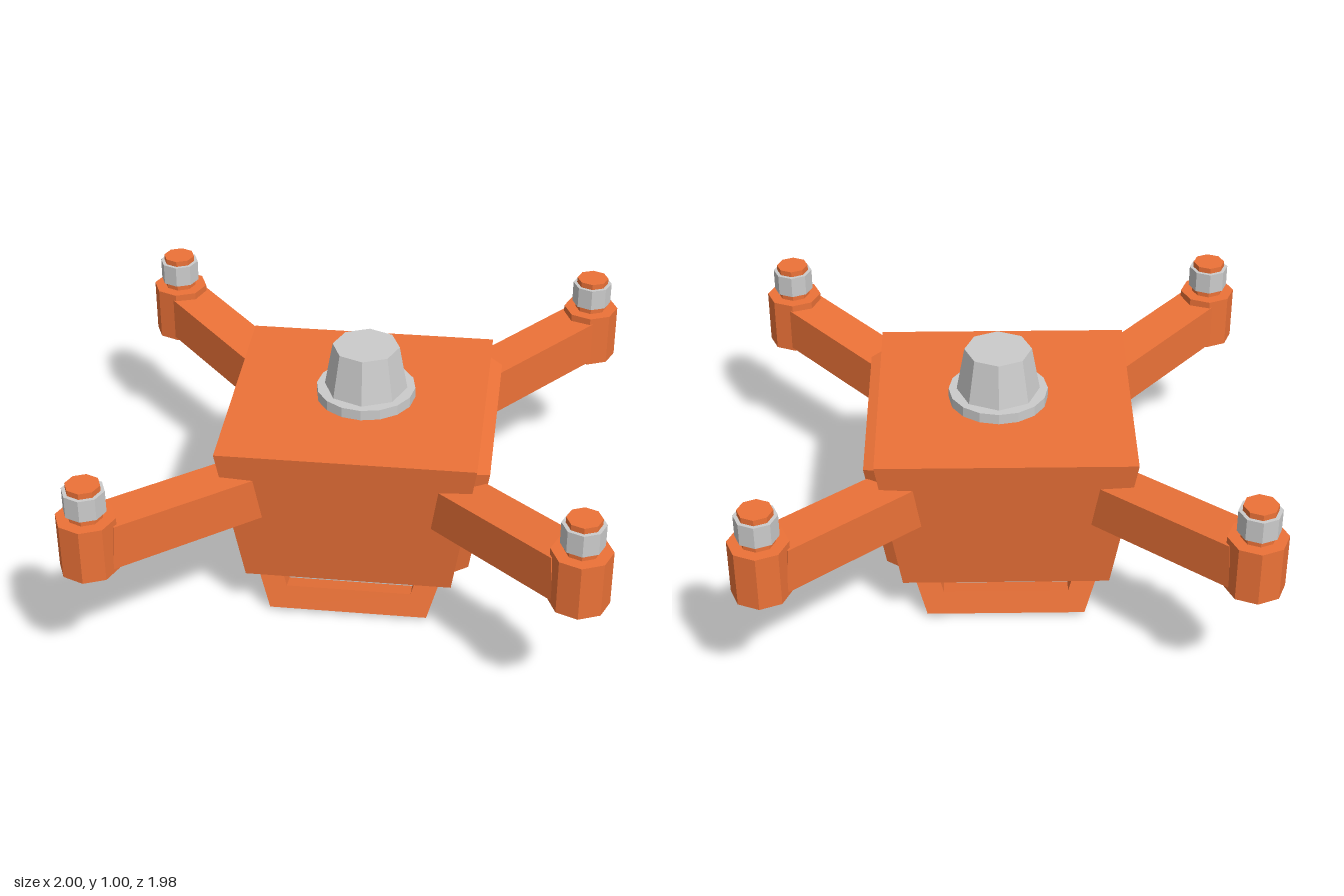
import * as THREE from 'three';

const orange = new THREE.MeshStandardMaterial({ color: 0xec7238, flatShading: true });
const grey = new THREE.MeshStandardMaterial({ color: 0xcccccc, flatShading: true });

function part(name, geometry, material, parent, x = 0, y = 0, z = 0) {
  const mesh = new THREE.Mesh(geometry, material);
  mesh.name = name;
  mesh.position.set(x, y, z);
  parent.add(mesh);
  return mesh;
}

// Upright prism or cone between two heights
function prism(name, rTop, rBottom, y0, y1, sides, material, parent, x = 0, z = 0) {
  const geometry = new THREE.CylinderGeometry(rTop, rBottom, y1 - y0, sides);
  return part(name, geometry, material, parent, x, (y0 + y1) / 2, z);
}

// Raised side panel with a bevelled rim and a recess, following the sloping body side
function panelGeometry() {
  const wall = (y) => 0.4 + (y - 0.175) * 0.149;
  // top y, bottom y, half width at top, half width at bottom, height above the wall
  const loops = [
    [0.735, 0.22, 0.44, 0.37, -0.01],
    [0.715, 0.235, 0.403, 0.34, 0.056],
    [0.65, 0.305, 0.32, 0.27, 0.056],
    [0.637, 0.318, 0.295, 0.255, 0.025],
  ].map(([t, b, wt, wb, d]) => [
    [wall(t) + d, t, wt], [wall(b) + d, b, wb],
    [wall(b) + d, b, -wb], [wall(t) + d, t, -wt],
  ]);
  const points = [];
  const quad = (a, b, c, d) => points.push(...a, ...b, ...c, ...a, ...c, ...d);
  for (let k = 0; k < loops.length - 1; k++) {
    for (let i = 0; i < 4; i++) {
      const j = (i + 1) % 4;
      quad(loops[k][i], loops[k][j], loops[k + 1][j], loops[k + 1][i]);
    }
  }
  quad(...loops[loops.length - 1]);
  const geometry = new THREE.BufferGeometry();
  geometry.setAttribute('position', new THREE.Float32BufferAttribute(points, 3));
  geometry.computeVertexNormals();
  return geometry;
}

// U-shaped landing skid, open at the top
function skidGeometry() {
  const outline = [
    [-0.37, 0.03], [-0.31, -0.17], [0.31, -0.17], [0.37, 0.03],
    [0.275, 0.03], [0.245, -0.073], [-0.245, -0.073], [-0.275, 0.03],
  ].map(([x, y]) => new THREE.Vector2(x, y));
  const geometry = new THREE.ExtrudeGeometry(new THREE.Shape(outline), { depth: 0.08, bevelEnabled: false });
  return geometry.translate(0, 0, -0.04);
}

export function createModel() {
  const model = new THREE.Group();
  model.name = 'quadcopter';

  // Tapered square body
  const body = prism('body', 0.492 * Math.SQRT2, 0.403 * Math.SQRT2, 0.175, 0.78, 4, orange, model);
  body.geometry.rotateY(Math.PI / 4);
  part('sidePanel', panelGeometry(), orange, model);
  part('bellyPlate', new THREE.BoxGeometry(0.228, 0.05, 0.228), orange, model, 0, 0.178, 0);

  // Top dome on its disc
  prism('domeBase', 0.193, 0.193, 0.77, 0.822, 16, grey, model, 0.024, -0.008);
  prism('dome', 0.13, 0.162, 0.82, 1.0, 8, grey, model, 0.024, -0.008);

  // Four diagonal arms, each carrying a motor
  const armSlope = Math.atan(0.089);
  for (const [sx, sz] of [[1, 1], [1, -1], [-1, -1], [-1, 1]]) {
    const arm = new THREE.Group();
    arm.name = (sz > 0 ? 'front' : 'back') + (sx > 0 ? 'Left' : 'Right') + 'Arm';
    model.add(arm);
    const beamGroup = new THREE.Group();
    beamGroup.name = 'beamMount';
    beamGroup.rotation.y = Math.atan2(-sz, sx);
    arm.add(beamGroup);
    const beam = part('beam', new THREE.BoxGeometry(0.82, 0.18, 0.177), orange, beamGroup, 0.79, 0.594, 0);
    beam.rotation.z = armSlope;

    const x = sx * 0.886;
    const z = sz * 0.88;
    prism('motorPod', 0.112, 0.112, 0.525, 0.745, 8, orange, arm, x, z);
    prism('motorShaft', 0.065, 0.065, 0.74, 0.883, 8, orange, arm, x, z);
    prism('motorRing', 0.08, 0.08, 0.772, 0.86, 8, grey, arm, x, z);
  }

  // Splayed landing skids, front and back
  for (const side of [1, -1]) {
    const mount = new THREE.Group();
    mount.name = side > 0 ? 'frontSkid' : 'backSkid';
    mount.rotation.y = side > 0 ? 0 : Math.PI;
    model.add(mount);
    const skid = part('skid', skidGeometry(), orange, mount, 0, 0.175, 0.326);
    skid.rotation.x = -0.23;
  }

  return model;
}
